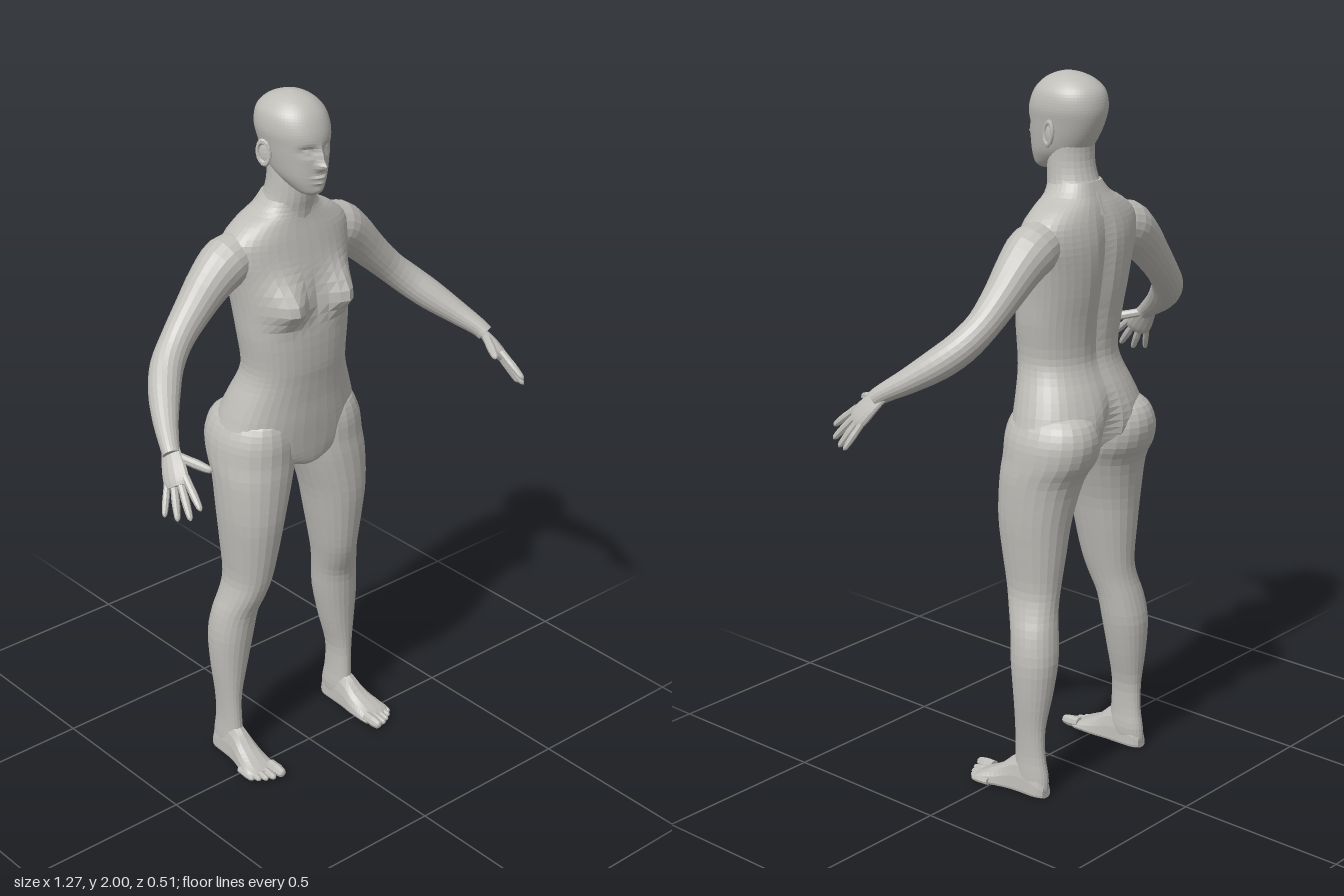
import * as THREE from 'three';

const V = (x, y, z) => new THREE.Vector3(x, y, z);
const lerp = THREE.MathUtils.lerp;
const pow = (v, e) => Math.sign(v) * Math.abs(v) ** e;
const bell = (x, y, cx, cy, sx, sy) => Math.exp(-(((x - cx) / sx) ** 2) - ((y - cy) / sy) ** 2);

// Catmull-Rom interpolation of table rows, column by column
function smoothRows(rows, steps) {
  const out = [], last = rows.length - 1;
  for (let i = 0; i < last; i++) {
    const [a, b, c, d] = [rows[Math.max(i - 1, 0)], rows[i], rows[i + 1], rows[Math.min(i + 2, last)]];
    for (let k = 0; k < steps; k++) {
      const t = k / steps;
      out.push(b.map((v, j) => v + 0.5 * t * (c[j] - a[j] + t * (2 * a[j] - 5 * v + 4 * c[j] - d[j]
        + t * (3 * (v - c[j]) + d[j] - a[j])))));
    }
  }
  out.push(rows[last]);
  return out;
}

// Closed, faceted skin through rings of points; faces always turn outward
function skin(rings) {
  const n = rings[0].length, pts = rings.flat(), idx = [];
  for (let i = 0; i < rings.length - 1; i++) {
    for (let j = 0; j < n; j++) {
      const a = i * n + j, b = i * n + (j + 1) % n;
      idx.push(a, b, b + n, a, b + n, a + n);
    }
  }
  [rings[0], rings[rings.length - 1]].forEach((ring, end) => {
    const c = pts.length, o = end * (rings.length - 1) * n;
    pts.push(ring.reduce((s, p) => s.add(p), V(0, 0, 0)).divideScalar(n));
    for (let j = 0; j < n; j++) {
      const a = o + j, b = o + (j + 1) % n;
      idx.push(c, end ? a : b, end ? b : a);
    }
  });
  let volume = 0;
  for (let i = 0; i < idx.length; i += 3) {
    volume += pts[idx[i]].dot(V(0, 0, 0).crossVectors(pts[idx[i + 1]], pts[idx[i + 2]]));
  }
  if (volume < 0) idx.reverse();
  const geo = new THREE.BufferGeometry().setFromPoints(pts);
  geo.setIndex(idx);
  const flat = geo.toNonIndexed();
  flat.computeVertexNormals();
  return flat;
}

// Level rings, rows: [y, xMin, xMax, zFront, zBack]; relief pushes the surface along z
function stack(rows, n, steps, relief = () => 0, e = 0.88) {
  return skin(smoothRows(rows, steps).map(([y, x0, x1, zf, zb]) =>
    Array.from({ length: n }, (_, j) => {
      const a = (j / n) * Math.PI * 2;
      const c = pow(Math.cos(a), e), s = pow(Math.sin(a), e);
      const x = (x0 + x1) / 2 + (x1 - x0) / 2 * c;
      return V(x, y, (zf + zb) / 2 + (zf - zb) / 2 * s + relief(x, y, s));
    })));
}

// Limb along a path, rows: [x, y, z, radius]; flat squeezes it across the side direction
function limb(rows, n, steps, side = V(0.3, 0.9, 0.2), flat = 1) {
  const r = smoothRows(rows, steps);
  return skin(r.map(([x, y, z, rad], i) => {
    const p = r[Math.max(i - 1, 0)], q = r[Math.min(i + 1, r.length - 1)];
    const t = V(q[0] - p[0], q[1] - p[1], q[2] - p[2]).normalize();
    const u = side.clone().addScaledVector(t, -side.dot(t)).normalize();
    const v = V(0, 0, 0).crossVectors(t, u);
    return Array.from({ length: n }, (_, j) => {
      const a = (j / n) * Math.PI * 2;
      return V(x, y, z).addScaledVector(u, rad * Math.cos(a)).addScaledVector(v, rad * flat * Math.sin(a));
    });
  }));
}

// Finger or toe: a tapered limb with a rounded tip
function digit(from, to, r) {
  const at = (t, k) => [0, 1, 2].map((i) => lerp(from[i], to[i], t)).concat(r * k);
  return limb([at(0, 1), at(0.35, 1), at(0.5, 1.05), at(0.8, 0.88), at(0.94, 0.65), at(1, 0.12)], 8, 2, V(0.8, 0.1, -0.6));
}

const symmetric = (rows) => rows.map(([y, w, f, b]) => [y, -w, w, f, b]);

export function createModel() {
  const model = new THREE.Group();
  model.name = 'figure';
  const grey = new THREE.MeshStandardMaterial({ color: 0xbfbdb8 });
  grey.name = 'warmGrey';

  const add = (name, geo) => {
    const mesh = new THREE.Mesh(geo, grey);
    mesh.name = name;
    model.add(mesh);
  };
  // Same part on both sides, the right one reflected
  const pair = (name, geo) => {
    add('left' + name, geo);
    const g = geo.clone(), p = g.attributes.position;
    for (let i = 0; i < p.count; i += 3) {
      const q = [0, 2, 1].map((k) => V(-p.getX(i + k), p.getY(i + k), p.getZ(i + k)));
      q.forEach((v, k) => p.setXYZ(i + k, v.x, v.y, v.z));
    }
    g.computeVertexNormals();
    add('right' + name, g);
  };

  // Torso with chest relief, spine groove and lower cleft
  add('torso', stack(symmetric([
    [1.715, 0.066, -0.02, -0.16], [1.68, 0.095, -0.022, -0.175], [1.65, 0.15, -0.018, -0.188],
    [1.61, 0.195, -0.008, -0.2], [1.56, 0.2, 0.004, -0.208], [1.5, 0.187, 0.018, -0.208],
    [1.42, 0.175, 0.032, -0.2], [1.34, 0.168, 0.042, -0.186], [1.25, 0.157, 0.042, -0.177],
    [1.2, 0.164, 0.037, -0.187], [1.14, 0.188, 0.032, -0.215], [1.08, 0.21, 0.03, -0.236],
    [1.02, 0.222, 0.026, -0.235], [0.97, 0.17, 0.022, -0.2], [0.94, 0.07, 0.015, -0.15],
    [0.925, 0.02, -0.01, -0.1],
  ]), 40, 3, (x, y, s) => {
    const ax = Math.abs(x);
    if (s > 0) return s * 0.056 * bell(ax, y, 0.1, y < 1.425 ? 1.425 : 1.435, 0.052, y < 1.425 ? 0.036 : 0.062);
    return -s * (0.018 * bell(x, y, 0, 1.42, 0.03, 0.22) + 0.055 * bell(x, y, 0, 1.0, 0.035, 0.09));
  }));

  add('neck', stack(symmetric([
    [1.63, 0.095, -0.02, -0.19], [1.68, 0.08, -0.018, -0.172], [1.72, 0.068, -0.013, -0.152],
    [1.77, 0.063, -0.015, -0.14], [1.83, 0.062, -0.03, -0.14],
  ]), 24, 3, undefined, 1));

  // Head with nose, eye sockets, eyelids, lips and chin
  add('head', stack(symmetric([
    [1.735, 0.018, 0.024, -0.015], [1.745, 0.034, 0.036, -0.04], [1.765, 0.05, 0.042, -0.085],
    [1.79, 0.064, 0.044, -0.125], [1.825, 0.074, 0.045, -0.152], [1.87, 0.083, 0.047, -0.173],
    [1.91, 0.089, 0.043, -0.181], [1.95, 0.082, 0.026, -0.173], [1.977, 0.06, 0, -0.147],
    [1.993, 0.033, -0.032, -0.11], [2.0, 0.005, -0.062, -0.075],
  ]), 64, 5, (x, y, s) => {
    if (s <= 0) return 0;
    const ax = Math.abs(x);
    return s * (0.022 * bell(x, y, 0, 1.822, 0.014, 0.012) + 0.012 * bell(x, y, 0, 1.845, 0.01, 0.022)
      - 0.015 * bell(ax, y, 0.033, 1.864, 0.02, 0.012) + 0.008 * bell(ax, y, 0.034, 1.862, 0.011, 0.006)
      + 0.01 * bell(x, y, 0, 1.788, 0.02, 0.006) + 0.009 * bell(x, y, 0, 1.776, 0.017, 0.005)
      - 0.004 * bell(x, y, 0, 1.782, 0.022, 0.003) + 0.004 * bell(x, y, 0, 1.75, 0.02, 0.012));
  }, 0.95));

  // Ears: a thin shell with a raised rim
  const shell = new THREE.SphereGeometry(1, 12, 8).scale(0.008, 0.03, 0.019);
  const rim = new THREE.TorusGeometry(0.02, 0.0055, 6, 16).scale(0.95, 1.5, 1).rotateY(Math.PI / 2);
  for (const [name, g, out] of [['Ear', shell, 0.087], ['EarRim', rim, 0.092]]) {
    pair(name, g.rotateY(-0.3).rotateX(-0.15).translate(out, 1.846, -0.076).toNonIndexed());
  }

  // Legs
  pair('Leg', stack([
    [1.11, 0.05, 0.17, -0.02, -0.19], [1.08, 0.025, 0.207, 0.01, -0.236], [1.03, 0.008, 0.23, 0.024, -0.254],
    [0.97, 0.008, 0.238, 0.026, -0.242], [0.91, 0.026, 0.241, 0.03, -0.208], [0.8, 0.06, 0.238, 0.03, -0.186],
    [0.7, 0.08, 0.229, 0.018, -0.175], [0.6, 0.1, 0.221, 0, -0.165], [0.54, 0.113, 0.232, -0.018, -0.166],
    [0.48, 0.124, 0.25, -0.04, -0.176], [0.4, 0.135, 0.26, -0.05, -0.185], [0.3, 0.156, 0.255, -0.06, -0.176],
    [0.2, 0.181, 0.244, -0.066, -0.162], [0.12, 0.184, 0.239, -0.064, -0.163], [0.06, 0.18, 0.241, -0.06, -0.173],
    [0.02, 0.184, 0.24, -0.06, -0.174], [0.008, 0.192, 0.232, -0.07, -0.165],
  ], 24, 3, undefined, 0.95));

  // Feet: upright arches strung along z, rows: [z, x centre, half width, height]
  pair('Foot', skin(smoothRows([
    [-0.172, 0.212, 0.016, 0.04], [-0.15, 0.212, 0.029, 0.08], [-0.1, 0.212, 0.032, 0.11],
    [-0.06, 0.213, 0.035, 0.1], [-0.02, 0.216, 0.043, 0.066], [0.02, 0.221, 0.05, 0.043],
    [0.045, 0.222, 0.051, 0.03], [0.06, 0.215, 0.042, 0.02],
  ], 3).map(([z, x, w, h]) => Array.from({ length: 16 }, (_, j) => {
    const a = (j / 16) * Math.PI * 2, s = Math.sin(a);
    return V(x + w * pow(Math.cos(a), 0.8), s < 0 ? 0.012 + 0.012 * pow(s, 0.6) : 0.012 + (h - 0.012) * s, z);
  }))));
  [[0.188, 0.106, 0.016], [0.214, 0.098, 0.011], [0.234, 0.088, 0.01], [0.251, 0.076, 0.01], [0.265, 0.061, 0.01]]
    .forEach(([x, z, r], i) => pair('Toe' + (i + 1), digit([x, r + 0.004, z - 0.062], [x, r, z], r)));

  // Arms
  pair('Arm', limb([
    [0.12, 1.575, -0.108, 0.055], [0.19, 1.558, -0.11, 0.07], [0.25, 1.515, -0.11, 0.062],
    [0.31, 1.455, -0.107, 0.052], [0.375, 1.39, -0.097, 0.045], [0.43, 1.338, -0.072, 0.045],
    [0.475, 1.293, -0.027, 0.043], [0.52, 1.247, 0.035, 0.034], [0.552, 1.212, 0.09, 0.026],
    [0.562, 1.195, 0.112, 0.024],
  ], 20, 3));

  // Hands: flattened palm, four fingers and a thumb
  const across = V(0.45, -0.4, -0.8);
  pair('Palm', limb([
    [0.548, 1.217, 0.082, 0.022], [0.56, 1.193, 0.107, 0.029], [0.571, 1.168, 0.131, 0.036],
    [0.58, 1.143, 0.152, 0.038], [0.585, 1.13, 0.163, 0.032],
  ], 14, 3, across, 0.45));
  [[0.58, 1.095, 0.252], [0.6, 1.066, 0.235], [0.615, 1.055, 0.2], [0.631, 1.058, 0.165]].forEach((tip, i) => {
    const t = i / 3;
    const base = [lerp(0.567, 0.592, t), lerp(1.158, 1.134, t), lerp(0.174, 0.13, t)];
    pair('Finger' + (i + 1), digit(base, tip, i === 3 ? 0.009 : 0.0105));
  });
  pair('Thumb', digit([0.553, 1.192, 0.125], [0.508, 1.168, 0.212], 0.0125));

  return model;
}
